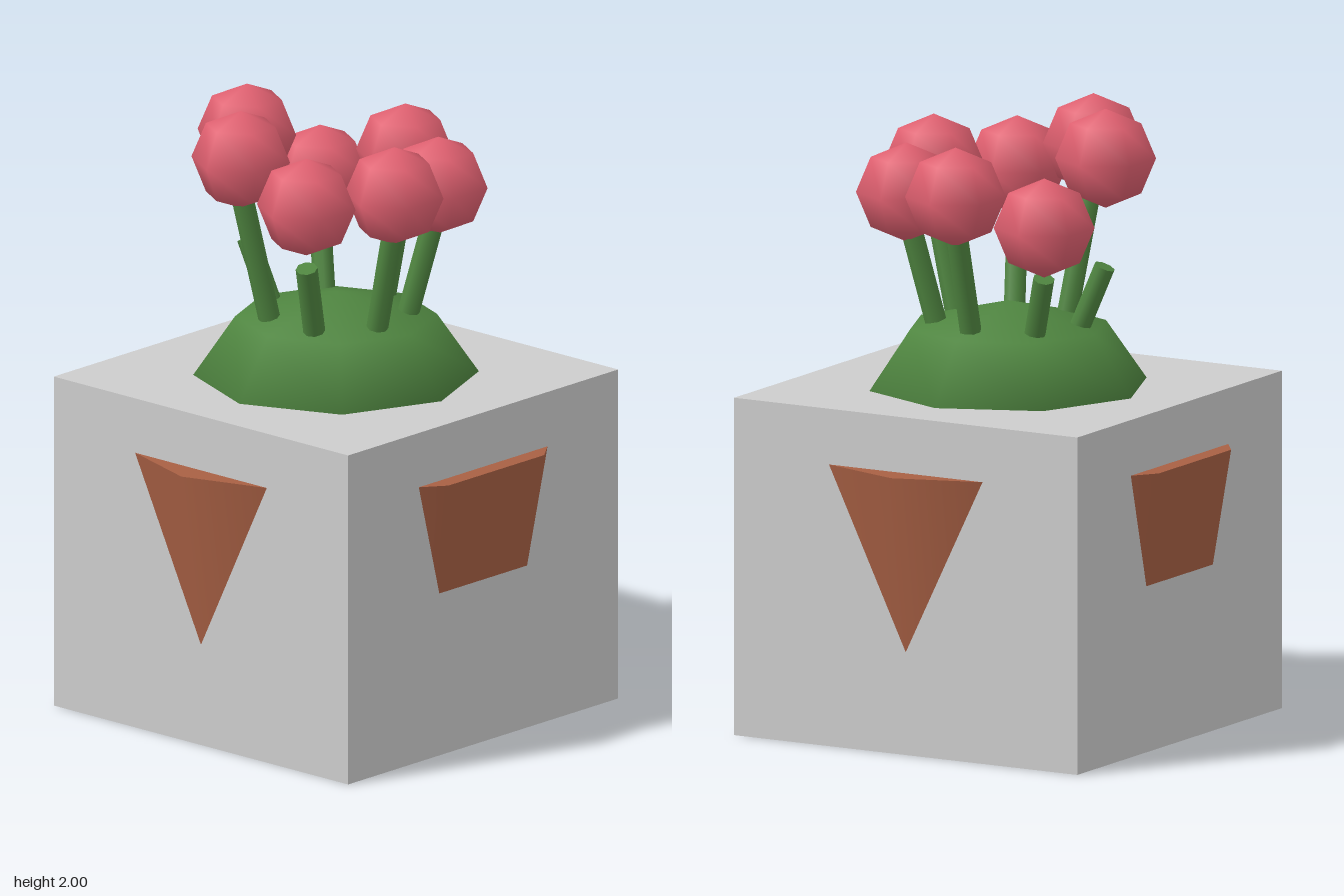
import * as THREE from 'three';

const paint = (name, color) => {
  const m = new THREE.MeshStandardMaterial({ color });
  m.name = name;
  return m;
};

export function createModel() {
  const model = new THREE.Group();
  const grey = paint('stone grey', 0xcccccc);
  const clay = paint('terracotta', 0xa86044);
  const green = paint('leaf green', 0x4f8540);
  const pink = paint('petal pink', 0xe06070);

  const add = (name, geometry, material, x = 0, y = 0, z = 0) => {
    const mesh = new THREE.Mesh(geometry, material);
    mesh.name = name;
    mesh.position.set(x, y, z);
    model.add(mesh);
    return mesh;
  };

  // Square planter block
  add('block', new THREE.BoxGeometry(1.266, 1.09, 1.266), grey, 0, 0.545, 0);

  // Ten-sided tapered pot that pokes through the block's sides and base
  const pot = add('pot', new THREE.CylinderGeometry(0.725, 0.58, 0.911, 10), clay, 0, 0.4545, 0);
  pot.rotation.y = Math.PI / 2;

  // Flattened leafy mound
  const mound = add('mound', new THREE.SphereGeometry(0.453, 8, 4), green, 0, 1.09, 0);
  mound.scale.y = 0.6;

  // Ring of seven flowers: [bloom centre height, stem top height]
  const flowers = [
    [1.75, 1.65], [1.72, 1.65], [1.76, 1.65], [1.735, 1.53],
    [1.835, 1.72], [1.84, 1.49], [1.655, 1.49],
  ];
  const bloom = new THREE.SphereGeometry(0.16, 6, 4);
  const up = new THREE.Vector3(0, 1, 0);
  flowers.forEach(([bloomY, stemTop], i) => {
    const a = (i / flowers.length) * Math.PI * 2;
    const at = (r, y) => new THREE.Vector3(r * Math.cos(a), y, r * Math.sin(a));
    add('bloom', bloom, pink).position.copy(at(0.325, bloomY));

    // Stem leans outwards from inside the mound
    const base = at(0.21, 1.22), top = at(0.322, stemTop);
    const dir = top.clone().sub(base);
    const stem = add('stem', new THREE.CylinderGeometry(0.035, 0.035, dir.length(), 8), green);
    stem.position.copy(base).add(top).multiplyScalar(0.5);
    stem.quaternion.setFromUnitVectors(up, dir.normalize());
  });

  return model;
}
